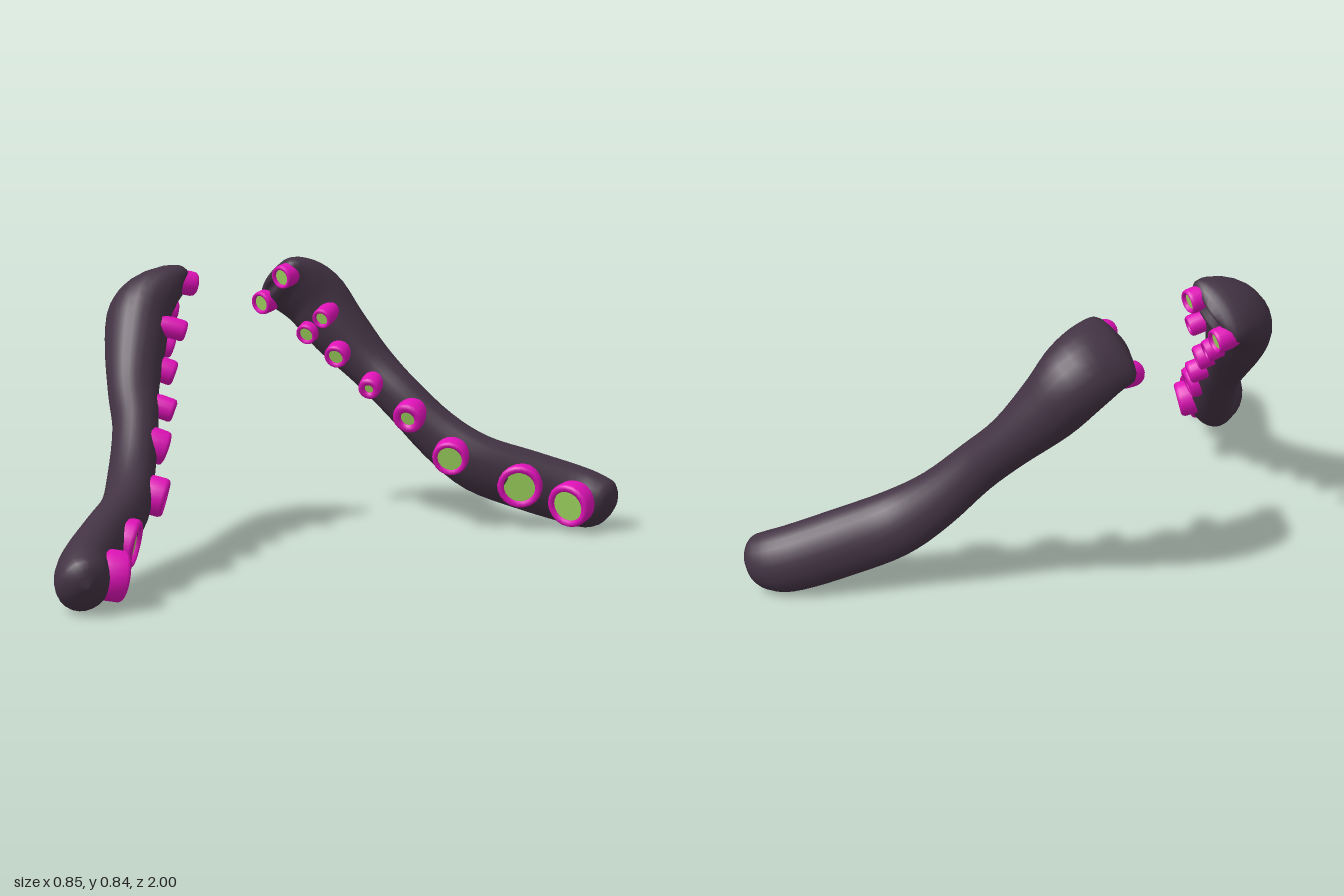
import * as THREE from 'three';

const skin = new THREE.MeshStandardMaterial({ color: 0x433344 });
skin.name = 'dark skin';
const rimPink = new THREE.MeshStandardMaterial({ color: 0xe012b8 });
rimPink.name = 'magenta rim';
const padGreen = new THREE.MeshStandardMaterial({ color: 0xa0d660 });
padGreen.name = 'green pad';

// Arm cross-sections: centre x, y, z, half width, half thickness, width angle in degrees
const sections = [
  [-0.335, 0.768, 0.180, 0.0, 0.0, 38],
  [-0.335, 0.768, 0.190, 0.1, 0.04, 38],
  [-0.328, 0.752, 0.255, 0.115, 0.072, 38],
  [-0.308, 0.705, 0.325, 0.113, 0.092, 38],
  [-0.255, 0.615, 0.375, 0.098, 0.09, 41],
  [-0.165, 0.500, 0.440, 0.076, 0.075, 49],
  [-0.075, 0.405, 0.490, 0.075, 0.066, 51],
  [0.020, 0.290, 0.565, 0.085, 0.066, 53],
  [0.110, 0.208, 0.645, 0.097, 0.07, 60],
  [0.200, 0.155, 0.765, 0.100, 0.072, 66],
  [0.285, 0.112, 0.875, 0.098, 0.074, 67],
  [0.345, 0.092, 0.920, 0.090, 0.076, 70],
  [0.390, 0.088, 0.938, 0.066, 0.058, 72],
  [0.418, 0.090, 0.945, 0.0, 0.0, 72],
];

// Suckers: position, facing direction, rim radius, pad share of the radius
const suckers = [
  [[-0.27, 0.79, 0.185], [0.25, -0.2, -0.95], 0.037, 0.68],
  [[-0.38, 0.70, 0.185], [0.25, -0.2, -0.95], 0.037, 0.68],
  [[-0.19, 0.665, 0.275], [0.45, -0.3, -0.85], 0.032, 0.62],
  [[-0.265, 0.61, 0.27], [0.45, -0.35, -0.85], 0.034, 0.66],
  [[-0.18, 0.545, 0.32], [0.5, -0.35, -0.8], 0.038, 0.62],
  [[-0.09, 0.45, 0.38], [0.55, -0.35, -0.78], 0.035, 0.42],
  [[0.0, 0.36, 0.465], [0.45, -0.35, -0.82], 0.05, 0.48],
  [[0.11, 0.24, 0.54], [0.6, -0.25, -0.75], 0.056, 0.7],
  [[0.235, 0.15, 0.715], [0.67, -0.2, -0.72], 0.07, 0.7],
  [[0.348, 0.095, 0.825], [0.33, -0.2, -0.93], 0.07, 0.7],
];

// Smooth loft through the sections; side = -1 mirrors it in z
function armGeometry(side) {
  const spine = new THREE.CatmullRomCurve3(
    sections.map(s => new THREE.Vector3(s[0], s[1], s[2])), false, 'catmullrom');
  const sizes = new THREE.CatmullRomCurve3(
    sections.map(s => new THREE.Vector3(s[3], s[4], s[5] / 100)), false, 'catmullrom');
  const rows = 52, around = 24, pos = [], index = [];
  for (let i = 0; i <= rows; i++) {
    const t = i / rows;
    const c = spine.getPoint(t), tangent = spine.getTangent(t), size = sizes.getPoint(t);
    const angle = size.z * 100 * Math.PI / 180;
    const across = new THREE.Vector3(Math.cos(angle), Math.sin(angle), 0);
    const depth = new THREE.Vector3().crossVectors(tangent, across).normalize();
    for (let j = 0; j < around; j++) {
      const a = j / around * Math.PI * 2;
      const p = c.clone()
        .addScaledVector(across, Math.max(size.x, 0.0005) * Math.cos(a))
        .addScaledVector(depth, Math.max(size.y, 0.0005) * Math.sin(a));
      pos.push(p.x, p.y, p.z * side);
    }
  }
  const tri = (a, b, c) => (side > 0 ? index.push(a, b, c) : index.push(a, c, b));
  for (let i = 0; i < rows; i++) {
    for (let j = 0; j < around; j++) {
      const k = (j + 1) % around;
      const a = i * around + j, b = i * around + k;
      tri(a, b, a + around);
      tri(b, b + around, a + around);
    }
  }
  const g = new THREE.BufferGeometry();
  g.setAttribute('position', new THREE.Float32BufferAttribute(pos, 3));
  g.setIndex(index);
  g.computeVertexNormals();
  return g;
}

// Cup with a rounded rim and a recessed pad, facing +y before it is turned
function makeSucker([p, d, r, share], side) {
  const group = new THREE.Group();
  group.name = 'sucker';
  const inner = r * share;
  const profile = [
    [r * 0.85, -0.05], [r, -0.02], [r, 0.018], [r * 0.95, 0.026],
    [(r + inner) / 2, 0.03], [inner, 0.026], [inner, 0.012],
  ].map(q => new THREE.Vector2(q[0], q[1]));
  const rim = new THREE.Mesh(new THREE.LatheGeometry(profile, 20), rimPink);
  rim.name = 'suckerRim';
  const pad = new THREE.Mesh(new THREE.CircleGeometry(inner * 1.01, 20).rotateX(-Math.PI / 2), padGreen);
  pad.name = 'suckerPad';
  pad.position.y = 0.018;
  group.add(rim, pad);
  group.position.set(p[0], p[1], p[2] * side);
  const facing = new THREE.Vector3(d[0], d[1], d[2] * side).normalize();
  group.quaternion.setFromUnitVectors(new THREE.Vector3(0, 1, 0), facing);
  return group;
}

export function createModel() {
  const model = new THREE.Group();
  model.name = 'tentaclePair';
  for (const side of [1, -1]) {
    const tentacle = new THREE.Group();
    tentacle.name = side > 0 ? 'frontTentacle' : 'backTentacle';
    const arm = new THREE.Mesh(armGeometry(side), skin);
    arm.name = 'arm';
    tentacle.add(arm);
    for (const s of suckers) tentacle.add(makeSucker(s, side));
    model.add(tentacle);
  }
  return model;
}
